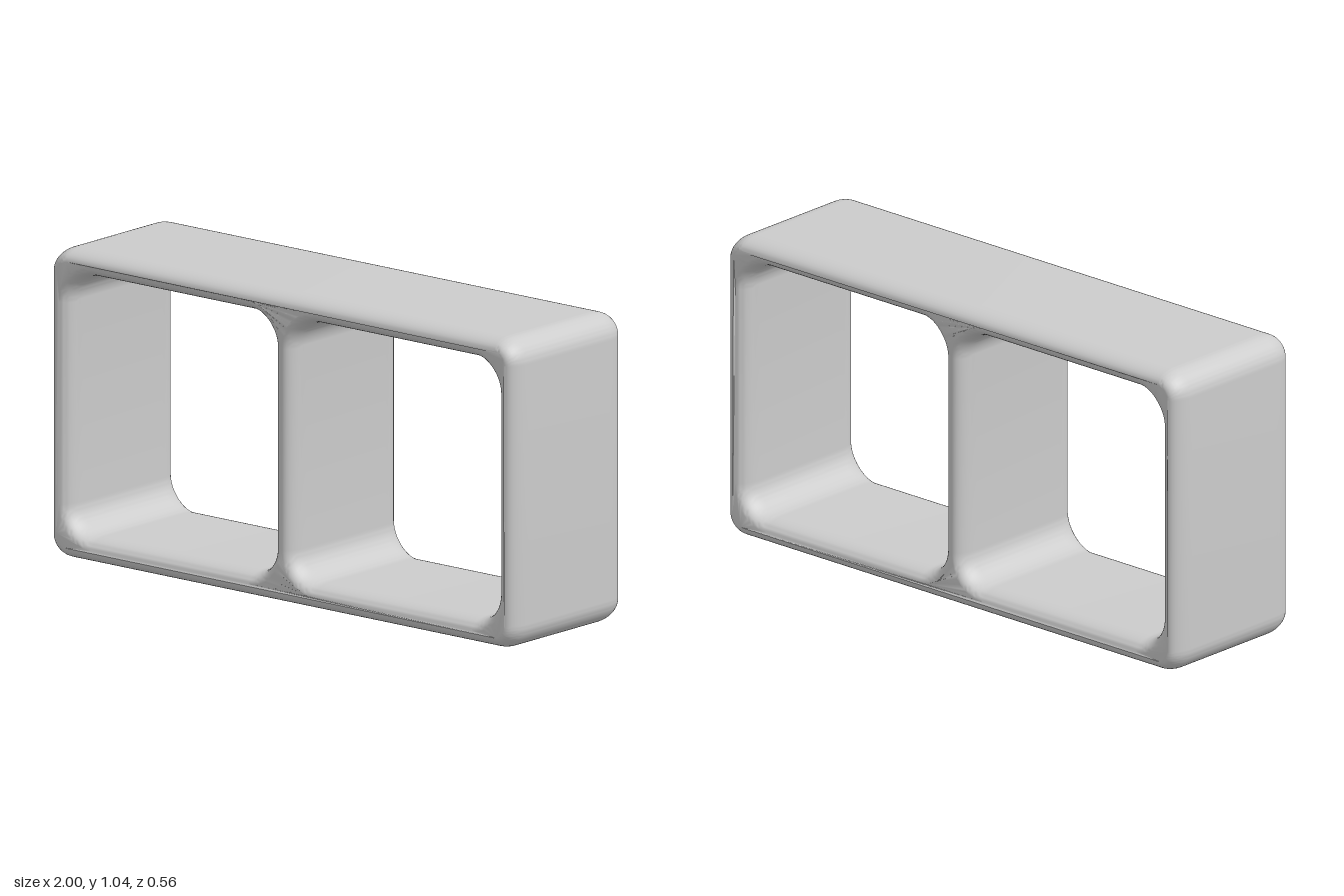
import * as THREE from 'three';
import { mergeVertices, toCreasedNormals } from 'three/addons/utils/BufferGeometryUtils.js';

const WIDTH = 2, HEIGHT = 1.045, HALF_DEPTH = 0.274;
const BEVEL = 0.039, BEVEL_DEPTH = 0.075;

// Traces a rounded rectangle into a Shape or Path
function roundedRect(path, x0, y0, x1, y1, r) {
  path.moveTo(x0 + r, y0);
  path.lineTo(x1 - r, y0);
  path.absarc(x1 - r, y0 + r, r, -Math.PI / 2, 0);
  path.lineTo(x1, y1 - r);
  path.absarc(x1 - r, y1 - r, r, 0, Math.PI / 2);
  path.lineTo(x0 + r, y1);
  path.absarc(x0 + r, y1 - r, r, Math.PI / 2, Math.PI);
  path.lineTo(x0, y0 + r);
  path.absarc(x0 + r, y0 + r, r, Math.PI, Math.PI * 1.5);
  return path;
}

export function createModel() {
  const grey = new THREE.MeshStandardMaterial({ color: 0xcccccc });
  grey.name = 'lightGrey';

  // Outer outline with two rounded openings
  const outline = roundedRect(new THREE.Shape(), -WIDTH / 2, 0, WIDTH / 2, HEIGHT, 0.085);
  for (const [x0, x1] of [[-0.915, -0.042], [0.042, 0.915]]) {
    outline.holes.push(roundedRect(new THREE.Path(), x0, 0.085, x1, 0.962, 0.1));
  }

  const depth = 2 * (HALF_DEPTH - BEVEL_DEPTH);
  let geometry = new THREE.ExtrudeGeometry(outline, {
    depth, curveSegments: 10,
    bevelEnabled: true, bevelSize: BEVEL, bevelOffset: -BEVEL,
    bevelThickness: BEVEL_DEPTH, bevelSegments: 8,
  });
  geometry.translate(0, 0, -depth / 2);

  // Rims swell slightly where the walls meet
  const pos = geometry.attributes.position;
  for (let i = 0; i < pos.count; i++) {
    const x = pos.getX(i), y = pos.getY(i), z = pos.getZ(i);
    const dx = Math.min(Math.abs(x), Math.abs(Math.abs(x) - 0.95));
    const dy = Math.min(Math.abs(y - 0.05), Math.abs(y - 0.995));
    const swell = 0.008 * Math.exp(-(dx * dx + dy * dy) / 0.008);
    pos.setZ(i, z + Math.sign(z) * swell);
  }

  // Smooth shading across the rounded rims
  geometry.deleteAttribute('normal');
  geometry.deleteAttribute('uv');
  geometry = toCreasedNormals(mergeVertices(geometry, 1e-5), Math.PI / 4);

  const frame = new THREE.Mesh(geometry, grey);
  frame.name = 'twoCellFrame';
  const group = new THREE.Group();
  group.name = 'openShelfBlock';
  group.add(frame);
  return group;
}
